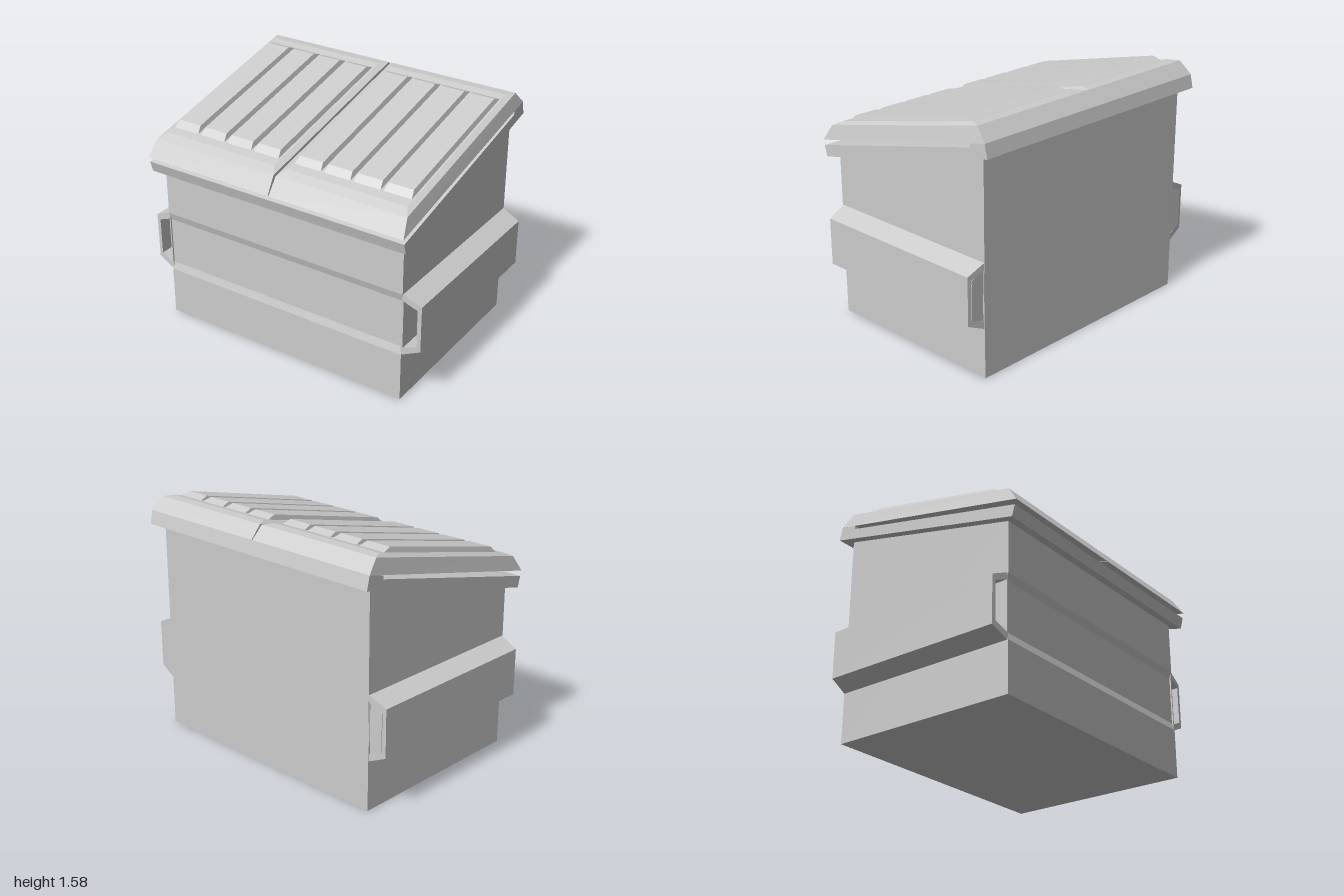
import * as THREE from 'three';

const material = new THREE.MeshStandardMaterial({ color: 0xcccccc, flatShading: true, side: THREE.DoubleSide });

function addMesh(parent, name, geometry) {
  const mesh = new THREE.Mesh(geometry, material);
  mesh.name = name;
  parent.add(mesh);
  return mesh;
}

const polygon = (points) => points.map(([x, y]) => new THREE.Vector2(x, y));

// Side profile of [z, y] points, extruded across x and centred
function sideProfile(points, halfWidth) {
  const geometry = new THREE.ExtrudeGeometry(new THREE.Shape(polygon(points)), {
    depth: halfWidth * 2, bevelEnabled: false,
  });
  return geometry.translate(0, 0, -halfWidth).rotateY(-Math.PI / 2);
}

// Closed solid through stacked four-cornered rings:
// { x: [inner, outer], front: [z, y], back: [z, y] }, on the given side of x = 0
function ringSolid(rings, side) {
  const loops = rings.map(({ x, front, back }) => {
    const [x0, x1] = x.map((v) => v * side).sort((a, b) => a - b);
    return [
      [x0, front[1], front[0]], [x1, front[1], front[0]],
      [x1, back[1], back[0]], [x0, back[1], back[0]],
    ];
  });
  const positions = [];
  const quad = (a, b, c, d) => positions.push(...a, ...b, ...c, ...a, ...c, ...d);
  for (let r = 0; r + 1 < loops.length; r++) {
    for (let i = 0; i < 4; i++) {
      const j = (i + 1) % 4;
      quad(loops[r][i], loops[r][j], loops[r + 1][j], loops[r + 1][i]);
    }
  }
  quad(...loops[loops.length - 1]);
  quad(...[...loops[0]].reverse());
  const geometry = new THREE.BufferGeometry();
  geometry.setAttribute('position', new THREE.Float32BufferAttribute(positions, 3));
  geometry.computeVertexNormals();
  return geometry;
}

// Height of the sloping lid panel at a given z
const panelY = (z) => 1.305 + (0.59 - z) * 0.2304;

function createLid(side) {
  const lid = new THREE.Group();
  lid.name = side > 0 ? 'leftLid' : 'rightLid';
  addMesh(lid, 'lidShell', ringSolid([
    { x: [0.003, 0.93], front: [0.72, 1.168], back: [-0.7, 1.487] },
    { x: [0.008, 0.91], front: [0.65, 1.275], back: [-0.625, 1.567] },
    { x: [0.045, 0.875], front: [0.59, 1.305], back: [-0.56, 1.57] },
  ], side));

  // Four raised panels separated by narrow grooves
  for (let i = 0; i < 4; i++) {
    const inner = 0.06 + i * 0.206;
    const outer = inner + 0.186;
    addMesh(lid, 'raisedPanel', ringSolid([
      { x: [inner, outer], front: [0.53, panelY(0.53) - 0.002], back: [-0.51, panelY(-0.51) - 0.002] },
      { x: [inner + 0.01, outer - 0.01], front: [0.49, panelY(0.49) + 0.032], back: [-0.45, panelY(-0.45) + 0.032] },
    ], side));
  }
  return lid;
}

function createForkPocket(side) {
  const pocket = new THREE.Group();
  pocket.name = side > 0 ? 'leftForkPocket' : 'rightForkPocket';
  const outline = [[0.875, 0.325], [0.88, 0.325], [1, 0.38], [1, 0.69], [0.88, 0.745], [0.875, 0.745]]
    .map(([x, y]) => [x * side, y]);
  const opening = [[0.885, 0.372], [0.974, 0.41], [0.974, 0.66], [0.885, 0.698]]
    .map(([x, y]) => [x * side, y]);

  // Sleeve with an open front
  const shape = new THREE.Shape(polygon(outline));
  shape.holes.push(new THREE.Path(polygon(opening)));
  const sleeve = new THREE.ExtrudeGeometry(shape, { depth: 1.245, bevelEnabled: false });
  sleeve.translate(0, 0, -0.625);
  // Ends draw in slightly away from the body
  const p = sleeve.attributes.position;
  for (let i = 0; i < p.count; i++) {
    const out = (Math.abs(p.getX(i)) - 0.88) / 0.12;
    const z = p.getZ(i);
    p.setZ(i, z > 0 ? z - 0.013 * out : z - 0.013 + 0.013 * out);
  }
  sleeve.computeVertexNormals();
  addMesh(pocket, 'pocketSleeve', sleeve);

  // Plate closing the back
  const plate = new THREE.ExtrudeGeometry(new THREE.Shape(polygon(opening)), { depth: 0.012, bevelEnabled: false });
  addMesh(pocket, 'pocketBack', plate.translate(0, 0, -0.632));
  return pocket;
}

export function createModel() {
  const model = new THREE.Group();
  model.name = 'wasteContainer';

  // Bin with sloping top and a shallow recessed band on the front
  addMesh(model, 'body', sideProfile([
    [-0.64, 0], [0.625, 0], [0.625, 0.325], [0.611, 0.375], [0.611, 0.695],
    [0.625, 0.745], [0.625, 1.09], [-0.64, 1.392],
  ], 0.88));

  // Overhanging rim with a raised hinge ledge at the back
  addMesh(model, 'rim', sideProfile([
    [0.69, 1.063], [0.71, 1.135], [-0.585, 1.437], [-0.59, 1.462],
    [-0.7, 1.486], [-0.72, 1.4],
  ], 0.93));

  for (const side of [-1, 1]) {
    model.add(createLid(side), createForkPocket(side));
  }
  return model;
}
